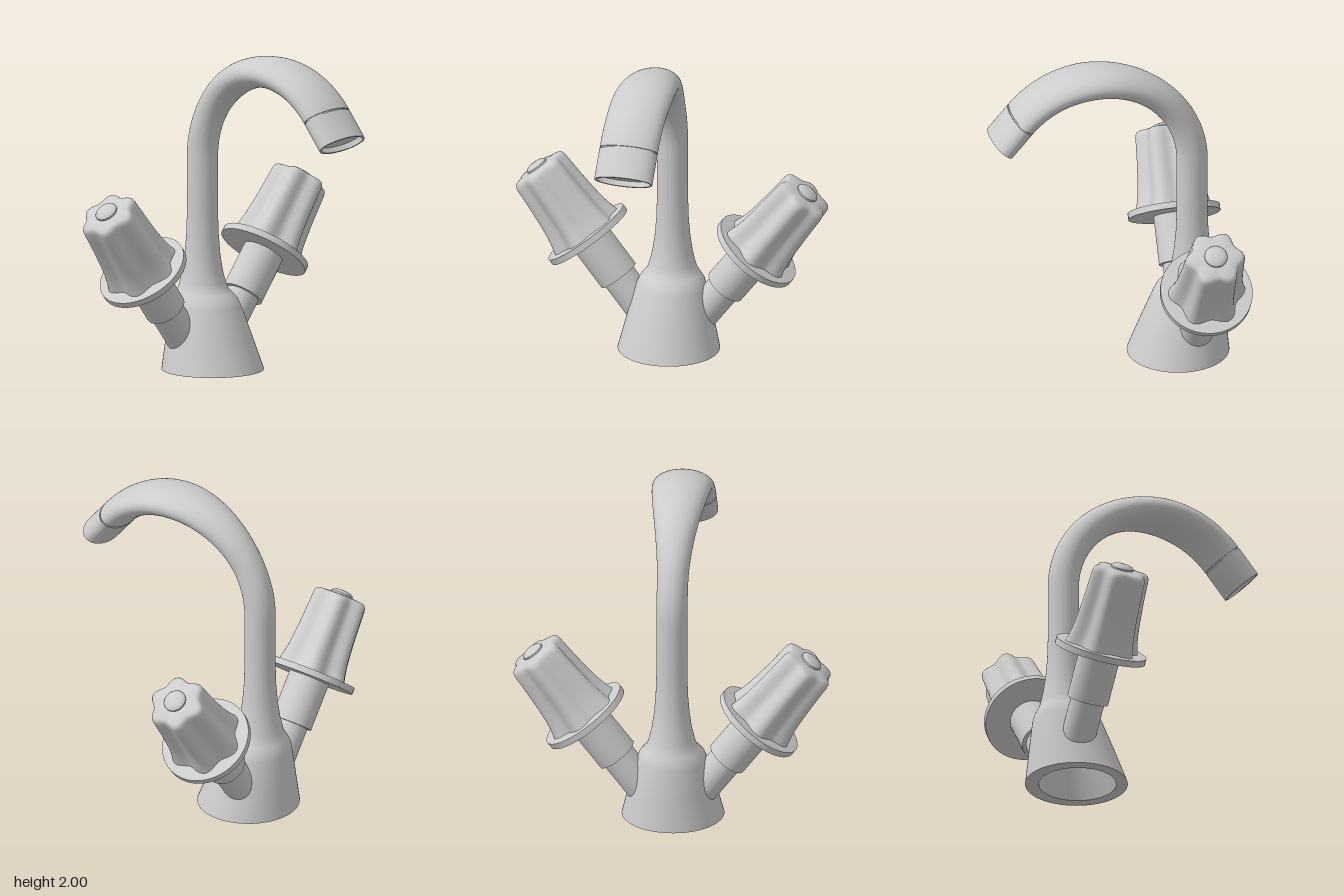
import * as THREE from 'three';
import { toCreasedNormals } from 'three/addons/utils/BufferGeometryUtils.js';

const metal = new THREE.MeshStandardMaterial({ color: 0xcccccc });

// Skins a list of rings [x, y, tilt, radiusInPlane, radiusAcross, lobeDepth].
// A ring with tilt 0 lies flat; tilt leans its axis from +y towards +x.
function loft(rings, seg, crease = 0.6) {
  const pos = [], idx = [];
  for (const [x, y, tilt, ru, rv, lobe = 0] of rings) {
    for (let j = 0; j < seg; j++) {
      const a = (j / seg) * Math.PI * 2;
      const k = 1 - lobe * (1 - Math.cos(6 * a)) / 2;
      const u = Math.cos(a) * ru * k;
      pos.push(x + Math.cos(tilt) * u, y - Math.sin(tilt) * u, -Math.sin(a) * rv * k);
    }
  }
  for (let i = 0; i < rings.length - 1; i++) {
    for (let j = 0; j < seg; j++) {
      const a = i * seg + j, b = i * seg + (j + 1) % seg;
      if (rings[i][3] > 0) idx.push(a, b, a + seg);
      if (rings[i + 1][3] > 0) idx.push(b, b + seg, a + seg);
    }
  }
  const g = new THREE.BufferGeometry();
  g.setAttribute('position', new THREE.Float32BufferAttribute(pos, 3));
  g.setIndex(idx);
  return toCreasedNormals(g, crease);
}

function part(name, geometry, parent) {
  const m = new THREE.Mesh(geometry, metal);
  m.name = name;
  parent.add(m);
  return m;
}

const round = (x, y, r) => [x, y, 0, r, r];

// Hollow leaning base that flows into the neck and the widening curved spout
function bodyRings() {
  const rings = [
    round(-0.46, 0.4, 0), round(-0.46, 0.4, 0.13), round(-0.405, 0, 0.237),
    round(-0.4125, 0, 0.3135), round(-0.443, 0.2, 0.264), round(-0.4735, 0.39, 0.215),
    round(-0.48, 0.43, 0.2), round(-0.489, 0.465, 0.174), round(-0.496, 0.49, 0.154),
    round(-0.498, 0.53, 0.141), round(-0.5, 0.6, 0.124), round(-0.5, 0.7, 0.109),
    round(-0.5, 0.82, 0.099), round(-0.5, 0.95, 0.095), round(-0.5, 1.15, 0.095),
  ];
  const steps = 56, end = THREE.MathUtils.degToRad(140);
  for (let i = 0; i <= steps; i++) {
    const t = end * i / steps;
    const wide = THREE.MathUtils.smoothstep(THREE.MathUtils.radToDeg(t), 22, 105);
    rings.push([0.1 - 0.6 * Math.cos(t), 1.305 + 0.6 * Math.sin(t), t, 0.095, 0.095 + 0.087 * wide]);
  }
  // Outlet: [distance past the arc, inset], with a groove and a recessed mouth
  const [x, y] = rings[rings.length - 1];
  for (const [d, inset] of [[0, 0.008], [0.01, 0.008], [0.01, 0], [0.205, 0], [0.205, 0.014], [0.17, 0.014]]) {
    rings.push([x + Math.sin(end) * d, y + Math.cos(end) * d, end, 0.095 - inset, 0.182 - inset]);
  }
  rings.push([x + Math.sin(end) * 0.17, y + Math.cos(end) * 0.17, end, 0, 0]);
  return rings;
}

// Valve and fluted knob, built along +y and then tilted outwards
function makeHandle(side) {
  const h = new THREE.Group();
  h.name = side > 0 ? 'frontHandle' : 'backHandle';

  const tube = (name, r, y0, y1) => {
    const g = new THREE.CylinderGeometry(r, r, y1 - y0, 48);
    g.translate(0, (y0 + y1) / 2, 0);
    part(name, g, h);
  };
  tube('valveStem', 0.105, 0.3, 0.58);
  tube('valveSleeve', 0.128, 0.552, 0.87);
  tube('knobFlange', 0.283, 0.85, 0.89);

  // Six-lobed grip: [height, lobe radius]
  const profile = [[0.88, 0.24], [0.9, 0.234], [0.94, 0.223], [1.0, 0.211], [1.08, 0.202], [1.18, 0.194],
    [1.28, 0.188], [1.345, 0.185], [1.366, 0.181], [1.379, 0.172], [1.386, 0.158], [1.392, 0.1], [1.393, 0]];
  part('knobGrip', loft(profile.map(([y, r]) => [0, y, 0, r, r, 0.18]), 96, 0.7), h);

  // Domed button on the end of the knob
  const dome = [[0.07, 1.38], [0.07, 1.402], [0.062, 1.412], [0.04, 1.42], [0, 1.424]];
  part('knobButton', loft(dome.map(([r, y]) => round(0, y, r)), 40), h);

  h.position.set(-0.4875, -0.03, 0);
  h.rotation.x = side * 0.657;
  return h;
}

export function createModel() {
  const model = new THREE.Group();
  model.name = 'mixerTap';
  part('baseAndSpout', loft(bodyRings(), 64), model);
  for (const side of [1, -1]) model.add(makeHandle(side));
  return model;
}
